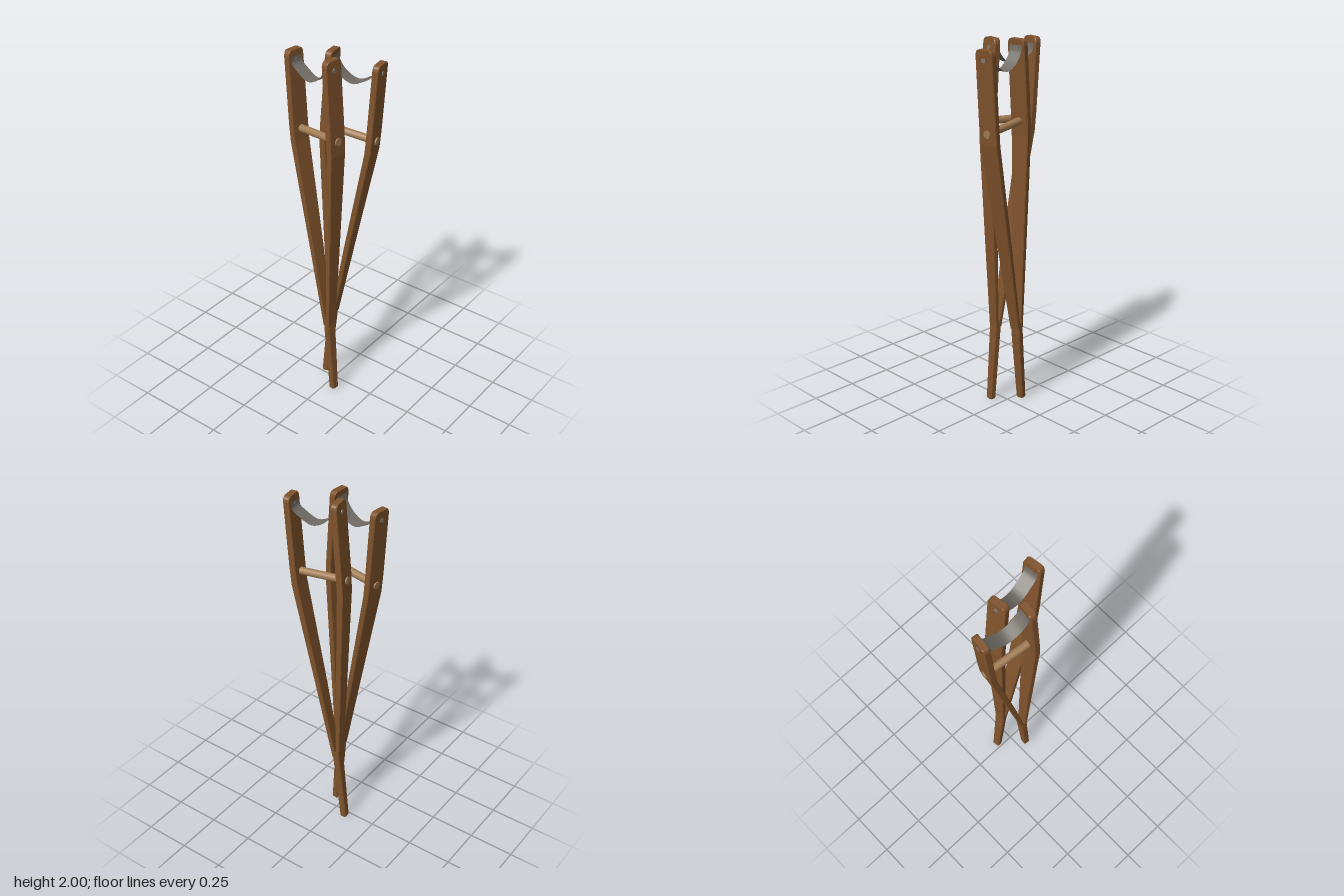
import * as THREE from 'three';

const wood = new THREE.MeshStandardMaterial({ color: 0x80532c });
wood.name = 'brown wood';
const paleWood = new THREE.MeshStandardMaterial({ color: 0xa07a52 });
paleWood.name = 'pale wood';
const leather = new THREE.MeshStandardMaterial({ color: 0x716c65, side: THREE.DoubleSide });
leather.name = 'grey leather';
const metal = new THREE.MeshStandardMaterial({ color: 0x81786c });
metal.name = 'dull metal';

function addMesh(group, name, geometry, material) {
  const mesh = new THREE.Mesh(geometry, material);
  mesh.name = name;
  group.add(mesh);
  return mesh;
}

// Chamfered bar through rows of [y, centre x, thickness, width], top row first
function bar(rows, chamfer = 0.004) {
  const n = rows.length - 1;
  const geo = new THREE.CylinderGeometry(1, 1, 1, 8, n, false, Math.PI / 8).toNonIndexed();
  const p = geo.attributes.position;
  for (let i = 0; i < p.count; i++) {
    const x = p.getX(i), z = p.getZ(i);
    const [y, cx, t, w] = rows[Math.round((0.5 - p.getY(i)) * n)];
    if (Math.hypot(x, z) < 0.1) { p.setXYZ(i, cx, y, 0); continue; }
    const side = Math.abs(x) > Math.abs(z);
    p.setXYZ(i,
      cx + Math.sign(x) * (t / 2 - (side ? 0 : chamfer)), y,
      Math.sign(z) * (w / 2 - (side ? chamfer : 0)));
  }
  geo.computeVertexNormals();
  return geo;
}

// Round rod between two points
function rod(group, name, a, b, radius, material) {
  const mesh = addMesh(group, name, new THREE.CylinderGeometry(radius, radius, a.distanceTo(b), 16), material);
  mesh.position.copy(a).lerp(b, 0.5);
  mesh.quaternion.setFromUnitVectors(new THREE.Vector3(0, 1, 0), b.clone().sub(a).normalize());
}

// Side rail: rounded top, straight upper part, bend, long taper to the foot
function rail(top, topX, bendX, footX) {
  const bendY = 1.53;
  const upperX = y => bendX + (topX - bendX) * (y - bendY) / (top - bendY);
  const rows = [[0, 0.068], [0.004, 0.084], [0.012, 0.096], [0.025, 0.103]]
    .map(([d, w]) => [top - d, upperX(top - d), 0.034, w]);
  rows.push([1.6, upperX(1.6), 0.034, 0.106], [1.5, bendX + (footX - bendX) * 0.02, 0.034, 0.104],
    [0.9, bendX + (footX - bendX) * 0.58, 0.03, 0.078], [0.43, footX, 0.022, 0.058]);
  return { geometry: bar(rows), at: y => new THREE.Vector3(upperX(y), y, 0) };
}

function crutch(name, left, right, legX) {
  const group = new THREE.Group();
  group.name = name;
  const rails = [left, right].map(r => rail(r.top, r.topX, r.bendX, r.footX));
  rails.forEach((r, i) => addMesh(group, i ? 'rightHandRail' : 'leftHandRail', r.geometry, wood));

  // Joined lower leg
  addMesh(group, 'leg', bar([[0.47, legX, 0.036, 0.058], [0.4, legX * 0.89, 0.038, 0.057],
    [0.006, 0, 0.036, 0.042], [0, 0, 0.028, 0.034]], 0.006), wood);

  // Handle passing through both rails
  const out = new THREE.Vector3(0.024, 0, 0);
  const [a, b] = rails.map((r, i) => r.at([left, right][i].top - 0.42));
  rod(group, 'handle', a.clone().sub(out), b.clone().add(out), 0.02, paleWood);

  // Pins that hold the sling
  const pins = rails.map((r, i) => r.at([left, right][i].top - 0.05));
  const reach = new THREE.Vector3(0.021, 0, 0);
  pins.forEach(p => rod(group, 'slingPin', p.clone().sub(reach), p.clone().add(reach), 0.012, metal));

  // Sagging sling between the rail tops
  const [l, r] = pins;
  const at = (f, y) => new THREE.Vector3(l.x + 0.019 + (r.x - l.x - 0.038) * f, y, 0);
  const curve = new THREE.CatmullRomCurve3([at(0, l.y + 0.02), at(0.02, l.y - 0.015), at(0.2, 1.885),
    at(0.5, 1.857), at(0.8, 1.885), at(0.98, r.y - 0.015), at(1, r.y + 0.02)]);
  const geo = new THREE.PlaneGeometry(1, 0.072, 28, 1);
  geo.rotateX(-Math.PI / 2);
  const pos = geo.attributes.position;
  for (let i = 0; i < pos.count; i++) {
    const c = curve.getPoint(pos.getX(i) + 0.5);
    pos.setXYZ(i, c.x, c.y, pos.getZ(i));
  }
  geo.computeVertexNormals();
  addMesh(group, 'sling', geo, leather);
  return group;
}

export function createModel() {
  const model = new THREE.Group();
  model.name = 'crutches';

  const front = crutch('frontCrutch',
    { top: 1.98, topX: -0.274, bendX: -0.243, footX: -0.042 },
    { top: 2, topX: -0.017, bendX: 0.015, footX: -0.024 }, -0.033);
  front.position.set(0.052, 0, 0.075);
  front.rotation.y = -0.125;

  const back = crutch('backCrutch',
    { top: 2, topX: 0.043, bendX: 0.007, footX: 0.034 },
    { top: 1.98, topX: 0.299, bendX: 0.267, footX: 0.052 }, 0.043);
  back.position.set(-0.078, 0, -0.03);
  back.rotation.y = 0.14;

  model.add(front, back);
  return model;
}
